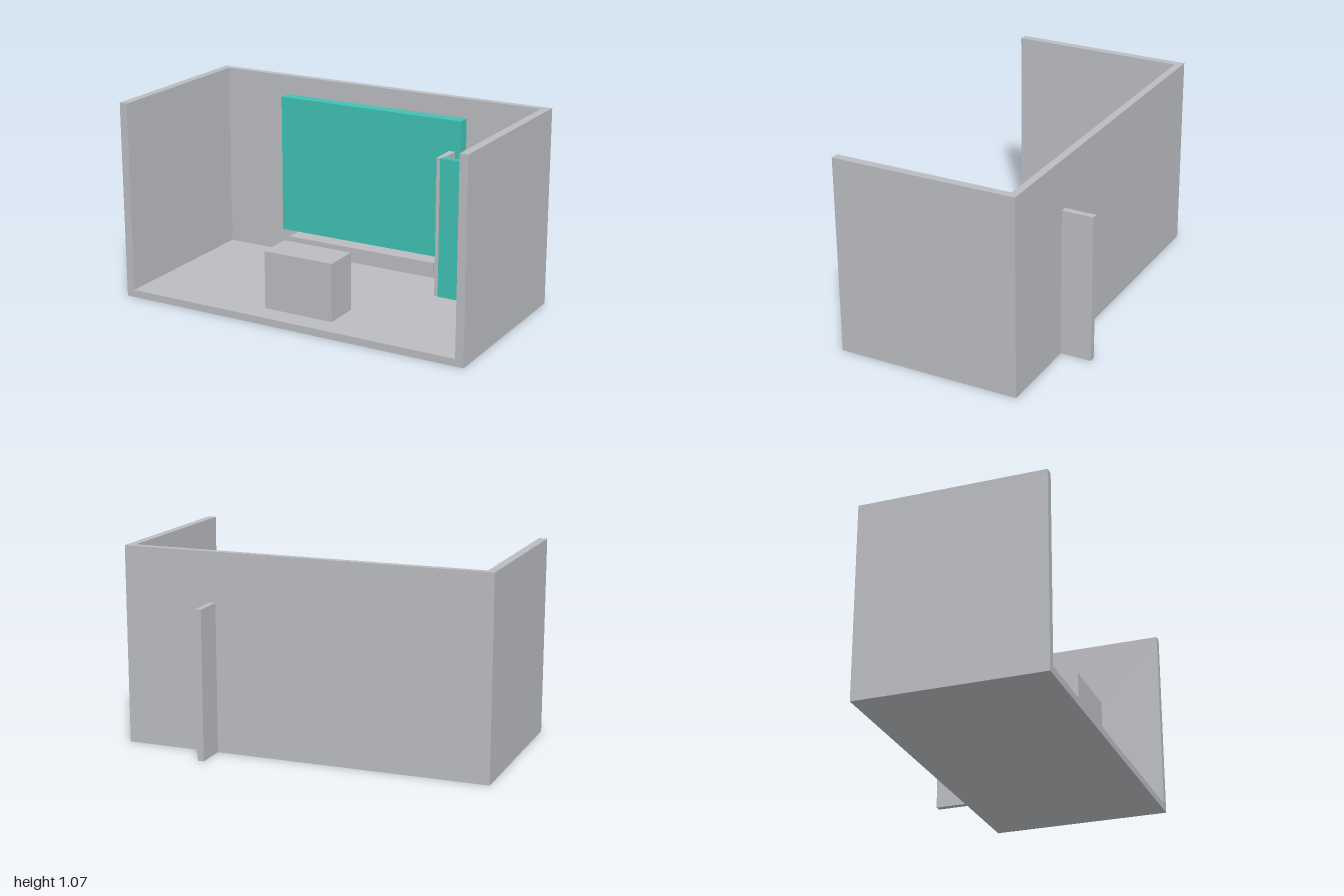
import * as THREE from 'three';

export function createModel() {
  const model = new THREE.Group();
  const grey = new THREE.MeshStandardMaterial({ color: 0xbbbcc0 });
  grey.name = 'light grey';
  const teal = new THREE.MeshStandardMaterial({ color: 0x40c1b3 });
  teal.name = 'turquoise';

  // Box given by its extents along each axis
  function box(name, material, [x0, x1], [y0, y1], [z0, z1]) {
    const mesh = new THREE.Mesh(new THREE.BoxGeometry(x1 - x0, y1 - y0, z1 - z0), material);
    mesh.position.set((x0 + x1) / 2, (y0 + y1) / 2, (z0 + z1) / 2);
    mesh.name = name;
    model.add(mesh);
  }

  // Open-fronted booth shell
  const top = 1.07, back = -0.415, front = 0.585, floorTop = 0.04, inner = 0.955;
  box('floor', grey, [-inner, inner], [0, floorTop], [back, front]);
  box('backWall', grey, [-inner, inner], [floorTop, top], [back, -0.375]);
  box('leftWall', grey, [inner, 1], [0, top], [back, front]);
  box('rightWall', grey, [-1, -inner], [0, top], [back, front]);

  // Wall screen with the shelf below it
  box('screen', teal, [-0.55, 0.547], [0.2, 0.97], [-0.355, -0.285]);
  box('shelf', grey, [-0.45, 0.447], [0.137, 0.2], [-0.375, -0.19]);

  // Counter standing near the front
  box('counter', grey, [-0.2, 0.2], [floorTop, 0.355], [0.267, 0.465]);

  // Storage corner: divider passing through the back wall, and its front panel
  box('divider', grey, [0.482, 0.516], [0, 0.802], [-0.585, -0.137]);
  box('storagePanel', teal, [0.507, inner], [0.02, 0.803], [-0.163, -0.128]);

  return model;
}
